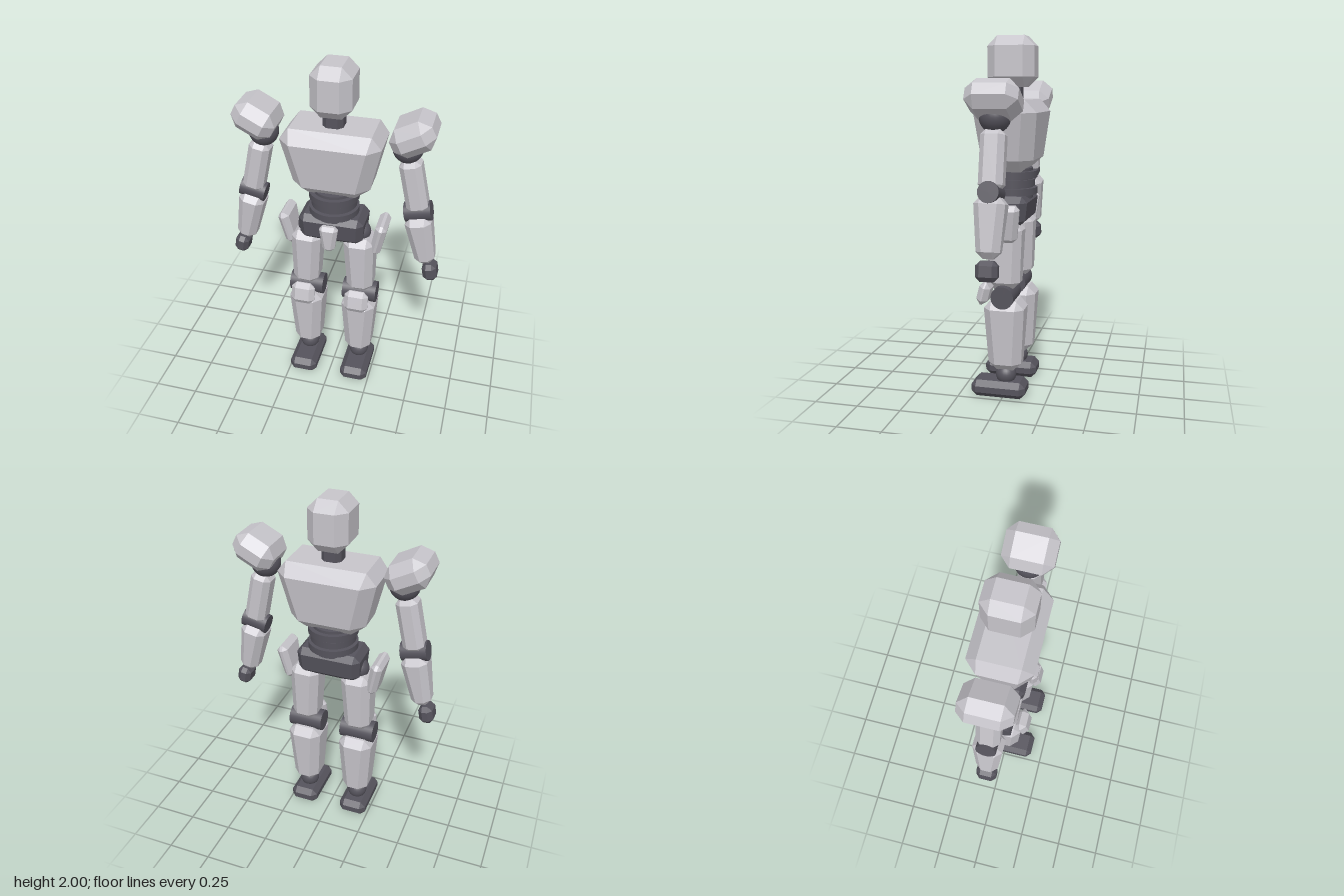
import * as THREE from 'three';
import { ConvexGeometry } from 'three/addons/geometries/ConvexGeometry.js';

const armour = new THREE.MeshStandardMaterial({ color: 0xc6c4ca });
armour.name = 'light grey armour';
const joint = new THREE.MeshStandardMaterial({ color: 0x55535c });
joint.name = 'dark grey joint';

const Z = -0.01; // body centre line in depth

// Box with chamfered edges, tapering from top [width, depth] to bottom [width, depth]
function block(top, bottom, height, c) {
  const points = [];
  for (const sx of [-1, 1]) for (const sy of [-1, 1]) for (const sz of [-1, 1]) {
    for (let full = 0; full < 3; full++) {
      const y = sy * (height / 2 - (full === 1 ? 0 : c));
      const t = y / height + 0.5;
      const w = THREE.MathUtils.lerp(bottom[0], top[0], t) / 2;
      const d = THREE.MathUtils.lerp(bottom[1], top[1], t) / 2;
      points.push(new THREE.Vector3(sx * (w - (full === 0 ? 0 : c)), y, sz * (d - (full === 2 ? 0 : c))));
    }
  }
  return new ConvexGeometry(points);
}

const box = (w, h, d, c) => block([w, d], [w, d], h, c);
const ball = (r) => new THREE.SphereGeometry(r, 24, 16);
const disc = (r, h) => new THREE.CylinderGeometry(r, r, h, 32);
const hinge = (r, length) => disc(r, length).rotateZ(Math.PI / 2);

export function createModel() {
  const model = new THREE.Group();
  model.name = 'robot';

  const add = (parent, name, geometry, material, x, y, z = Z, rz = 0, rx = 0) => {
    const mesh = new THREE.Mesh(geometry, material);
    mesh.name = name;
    mesh.position.set(x, y, z);
    mesh.rotation.set(rx, 0, rz);
    parent.add(mesh);
  };

  // Head and trunk
  add(model, 'head', box(0.22, 0.275, 0.262, 0.055), armour, 0, 1.8625, -0.013);
  add(model, 'neck', box(0.11, 0.16, 0.11, 0.025), joint, 0, 1.69);
  add(model, 'chest', block([0.575, 0.36], [0.395, 0.275], 0.39, 0.068), armour, 0, 1.465, -0.014);

  // Ringed waist
  add(model, 'waistCore', disc(0.115, 0.17), joint, 0, 1.2);
  [[1.25, 0.14], [1.203, 0.127], [1.157, 0.14]].forEach(([y, r], i) =>
    add(model, 'waistRing' + (i + 1), disc(r, 0.038), joint, 0, y));

  // Pelvis and front plate
  add(model, 'pelvis', block([0.375, 0.24], [0.355, 0.2], 0.17, 0.035), joint, 0, 1.055);
  add(model, 'pelvisFrontPlate', block([0.11, 0.058], [0.065, 0.05], 0.16, 0.02), armour, 0, 1.025, 0.12);

  for (const s of [-1, 1]) {
    const side = s > 0 ? 'left' : 'right';

    // Arm, leaning outwards towards the hand
    const arm = new THREE.Group();
    arm.name = side + 'Arm';
    model.add(arm);
    add(arm, 'shoulderPad', box(0.237, 0.167, 0.275, 0.053), armour, s * 0.42, 1.663, -0.013, s * 0.48);
    add(arm, 'shoulderBall', ball(0.082), joint, s * 0.39, 1.577);
    add(arm, 'upperArm', box(0.118, 0.31, 0.128, 0.03), armour, s * 0.437, 1.365, Z, s * 0.21);
    add(arm, 'elbow', hinge(0.055, 0.145), joint, s * 0.468, 1.203, Z, s * 0.21);
    add(arm, 'forearm', block([0.15, 0.17], [0.108, 0.12], 0.31, 0.035), armour, s * 0.5, 1.03, Z, s * 0.21);
    add(arm, 'hand', box(0.08, 0.105, 0.115, 0.024), joint, s * 0.56, 0.823, Z, s * 0.18);

    // Leg
    const leg = new THREE.Group();
    leg.name = side + 'Leg';
    model.add(leg);
    add(leg, 'hipBall', ball(0.06), joint, s * 0.152, 1.02);
    add(leg, 'hipPlate', block([0.065, 0.2], [0.06, 0.15], 0.21, 0.024), armour, s * 0.263, 1.007, -0.015, -s * 0.2);
    add(leg, 'thigh', block([0.176, 0.2], [0.148, 0.17], 0.37, 0.04), armour, s * 0.158, 0.815, Z, s * 0.03);
    add(leg, 'knee', hinge(0.063, 0.2), joint, s * 0.16, 0.595);
    add(leg, 'kneePad', box(0.14, 0.13, 0.065, 0.028), armour, s * 0.16, 0.597, 0.11, 0, -0.25);
    add(leg, 'shin', block([0.205, 0.232], [0.15, 0.182], 0.41, 0.045), armour, s * 0.16, 0.362);
    add(leg, 'ankle', ball(0.058), joint, s * 0.16, 0.125);
    add(leg, 'foot', box(0.165, 0.095, 0.31, 0.03), joint, s * 0.16, 0.0475, 0.025);
  }

  return model;
}
